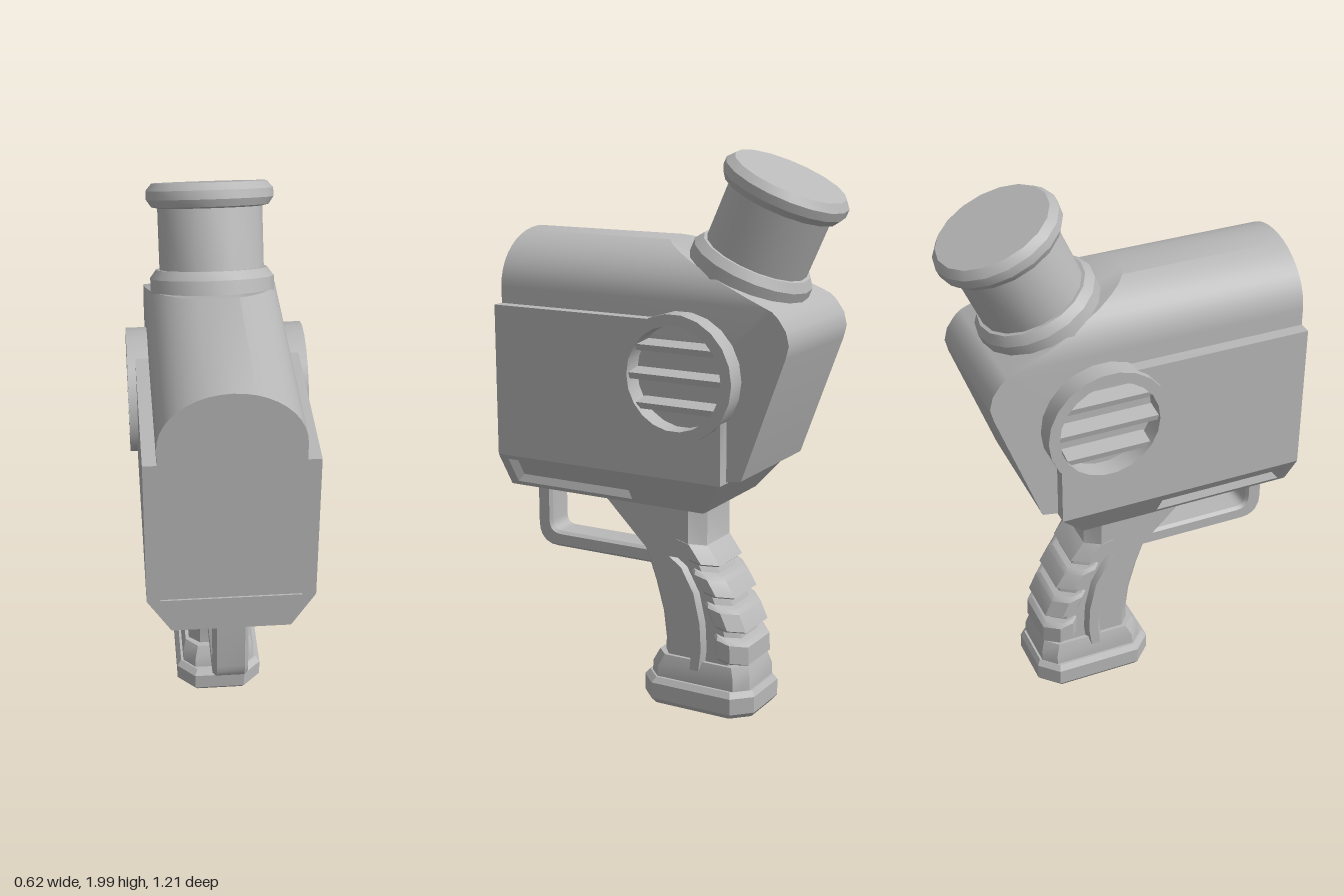
import * as THREE from 'three';
import { toCreasedNormals } from 'three/addons/utils/BufferGeometryUtils.js';

// Closed solid through equal-length loops of [x, y, z], capped at both ends
function loft(loops) {
  const tris = [];
  const n = loops[0].length;
  for (let i = 0; i + 1 < loops.length; i++) {
    for (let j = 0; j < n; j++) {
      const k = (j + 1) % n, A = loops[i], B = loops[i + 1];
      tris.push([A[j], A[k], B[k]], [A[j], B[k], B[j]]);
    }
  }
  const cap = (loop, flip) => {
    const c = [0, 1, 2].map((a) => loop.reduce((s, p) => s + p[a], 0) / n);
    for (let j = 0; j < n; j++) {
      const p = loop[j], q = loop[(j + 1) % n];
      tris.push(flip ? [c, q, p] : [c, p, q]);
    }
  };
  cap(loops[0], true);
  cap(loops[loops.length - 1], false);
  // Turn the faces outward if the loops run the other way round
  const v = [0, 1, 2].map(() => new THREE.Vector3());
  let volume = 0;
  for (const t of tris) {
    t.forEach((p, i) => v[i].fromArray(p));
    volume += v[0].dot(v[1].cross(v[2]));
  }
  if (volume < 0) tris.forEach((t) => t.reverse());
  const g = new THREE.BufferGeometry();
  g.setAttribute('position', new THREE.Float32BufferAttribute(tris.flat(2), 3));
  return toCreasedNormals(g, 0.5);
}

// Mirrors a half outline of [x, z] pairs into a full loop; height may depend on z
function mirrorLoop(half, height) {
  const right = half.map(([x, z]) => [x, height(z), z]);
  const left = half.map(([x, z]) => [-x, height(z), z]).reverse();
  return [...right, ...left];
}

// Octagonal loop with chamfered corners
const octagon = (w, zf, zb, c, height) =>
  mirrorLoop([[w - c, zf], [w, zf - c], [w, zb + c], [w - c, zb]], height);

// Shape drawn with (-z, y), extruded along x
function extrudeX(shape, x0, x1, options = {}) {
  const g = new THREE.ExtrudeGeometry(shape, { depth: x1 - x0, bevelEnabled: false, curveSegments: 11, ...options });
  g.rotateY(Math.PI / 2);
  g.translate(x0, 0, 0);
  return toCreasedNormals(g, 0.5);
}

export function createModel() {
  const model = new THREE.Group();
  model.name = 'handheldDevice';
  const grey = new THREE.MeshStandardMaterial({ color: 0xb8b8b8 });
  grey.name = 'grey';
  const add = (name, geometry, parent = model) => {
    const mesh = new THREE.Mesh(geometry, grey);
    mesh.name = name;
    parent.add(mesh);
    return mesh;
  };

  // Arched upper housing: one side profile per step across the width
  const bodyLoops = [];
  for (let i = 0; i <= 20; i++) {
    const a = Math.PI * (1 - i / 20);
    const top = 1.5 + 0.193 * Math.sin(a);
    const knee = 0.03 - (1.693 - top) / 0.41;
    bodyLoops.push([
      [0.9, 0.605], [top, 0.605], [top, knee], [1.491, -0.462], [1.47, -0.485], [1.43, -0.513],
      [1.385, -0.524], [1.34, -0.513], [0.91, -0.356], [0.9, -0.3],
    ].map(([y, z]) => [0.235 * Math.cos(a), y, z]));
  }
  add('upperHousing', loft(bodyLoops));

  // Lower housing, chamfered, with a recessed panel in each sloping side
  const slope = (side, z, s, inset = 0) =>
    [side * (0.28 - 0.08 * s - 0.85 * inset), 0.895 - 0.13 * s + 0.52 * inset, z];
  const quad = (side, z0, z1, z2, s0, s1, inset) =>
    [slope(side, z0, s0, inset), slope(side, z1, s0, inset), slope(side, z2, s1, inset), slope(side, z0, s1, inset)];
  const sideLoops = (side) => [
    quad(side, 0.55, 0.105, 0.105, 0.27, 0.76, 0.022),
    quad(side, 0.57, 0.085, 0.085, 0.13, 0.88, 0),
    quad(side, 0.605, -0.3, -0.195, 0, 1, 0),
  ];
  add('lowerHousing', loft([...sideLoops(-1), ...sideLoops(1).reverse()]));

  // Side plates with a round opening, vent rings and tilted slats
  const ventY = 1.25, ventZ = -0.135;
  const plate = new THREE.Shape();
  plate.moveTo(-0.605, 0.895);
  plate.lineTo(-0.605, 1.44);
  plate.lineTo(-ventZ, 1.44);
  plate.absarc(-ventZ, ventY, 0.19, Math.PI / 2, -0.52, true);
  plate.lineTo(0.3, 0.895);
  const opening = new THREE.Path().absarc(-ventZ, ventY, 0.18, 0, Math.PI * 2, true);
  plate.holes.push(opening);
  const ring = new THREE.Shape().absarc(-ventZ, ventY, 0.219, 0, Math.PI * 2, false);
  ring.holes.push(opening);
  for (const side of [1, -1]) {
    const label = side > 0 ? 'left' : 'right';
    const span = (a, b) => (side > 0 ? [a, b] : [-b, -a]);
    add(label + 'SidePlate', extrudeX(plate, ...span(0.234, 0.28)));
    const vent = new THREE.Group();
    vent.name = label + 'Vent';
    model.add(vent);
    add('ventRing', extrudeX(ring, ...span(0.234, 0.308)), vent);
    for (const dy of [-0.1, 0, 0.1]) {
      const length = 2 * Math.sqrt(0.18 ** 2 - dy ** 2);
      const slat = add('ventSlat', new THREE.BoxGeometry(0.06, 0.022, length), vent);
      slat.position.set(side * 0.264, ventY + dy, ventZ);
      slat.rotation.z = side * -0.2;
    }
  }

  // Tilted eyepiece, measured down from its cap
  const profile = [
    [0, -0.46], [0.217, -0.46], [0.217, -0.325], [0.195, -0.295], [0.183, -0.295],
    [0.183, -0.085], [0.205, -0.08], [0.222, -0.055], [0.222, -0.025], [0.2, 0], [0, 0],
  ].map(([r, y]) => new THREE.Vector2(r, y));
  const eyepiece = add('eyepiece', toCreasedNormals(new THREE.LatheGeometry(profile, 18), 0.45));
  eyepiece.position.set(0, 1.908, -0.411);
  eyepiece.rotation.x = -0.424;

  // Trigger guard
  const guard = new THREE.Shape();
  guard.moveTo(-0.583, 0.79);
  guard.lineTo(-0.583, 0.58);
  guard.quadraticCurveTo(-0.583, 0.507, -0.51, 0.507);
  guard.lineTo(-0.06, 0.507);
  guard.lineTo(-0.06, 0.547);
  guard.lineTo(-0.49, 0.547);
  guard.quadraticCurveTo(-0.54, 0.547, -0.54, 0.597);
  guard.lineTo(-0.54, 0.79);
  add('triggerGuard', extrudeX(guard, -0.048, 0.048,
    { bevelEnabled: true, bevelSize: 0.01, bevelThickness: 0.012, bevelSegments: 1, curveSegments: 5 }));

  // Grip neck, flaring forward under the housing
  const neck = (y, zf, zb) =>
    mirrorLoop([[0.07, zf], [0.135, zf - 0.06], [0.135, zb + 0.05], [0.085, zb]], () => y);
  add('gripNeck', loft([neck(0.78, 0.333, -0.148), neck(0.6, 0.15, -0.148), neck(0.565, 0.115, -0.165)]));

  // Grip core: recessed front, raised sides and recessed back; rows of [y, front, side edge, back]
  const rows = [
    [0.6, 0.13, 0.06, -0.16], [0.565, 0.115, 0.03, -0.185], [0.53, 0.1, -0.02, -0.205], [0.44, 0.068, -0.07, -0.25],
    [0.33, 0.038, -0.095, -0.295], [0.23, 0.026, -0.1, -0.315], [0.15, 0.03, -0.09, -0.317],
  ];
  add('gripCore', loft(rows.map(([y, zf, zs, zb]) => {
    const zg = Math.max(zs - 0.05, zb + 0.09);
    return mirrorLoop([
      [0.07, zf], [0.112, zf - 0.035], [0.112, zs], [0.135, zs - 0.015],
      [0.135, zg], [0.112, zg - 0.012], [0.112, zb + 0.07], [0.065, zb + 0.028],
    ], () => y);
  })));

  // Finger bands around the back of the grip: [top, bottom, back at top, back at bottom]
  const bands = [
    [0.62, 0.53, -0.148, -0.2], [0.5, 0.42, -0.222, -0.26],
    [0.385, 0.3, -0.275, -0.306], [0.27, 0.18, -0.312, -0.317],
  ];
  for (const [y0, y1, b0, b1] of bands) {
    const level = (y, zb, inset) => octagon(0.136 - inset, zb + 0.15, zb + inset, 0.05, (z) => y + 0.25 * (z - zb));
    add('gripBand', loft([
      level(y0, b0, 0.012), level(y0 - 0.012, b0 - 0.003, 0), level(y1 + 0.012, b1, 0), level(y1, b1, 0.012),
    ]));
  }

  // Collar and foot of the grip
  const flat = (y, w, zf, zb, c) => octagon(w, zf, zb, c, () => y);
  add('gripCollar', loft([
    flat(0.08, 0.136, 0.075, -0.325, 0.045), flat(0.14, 0.136, 0.07, -0.325, 0.045), flat(0.185, 0.125, 0.048, -0.312, 0.045),
  ]));
  add('gripFoot', loft([
    flat(0, 0.145, 0.088, -0.33, 0.06), flat(0.02, 0.16, 0.104, -0.345, 0.065),
    flat(0.08, 0.16, 0.104, -0.345, 0.065), flat(0.1, 0.145, 0.088, -0.333, 0.06),
  ]));

  return model;
}
